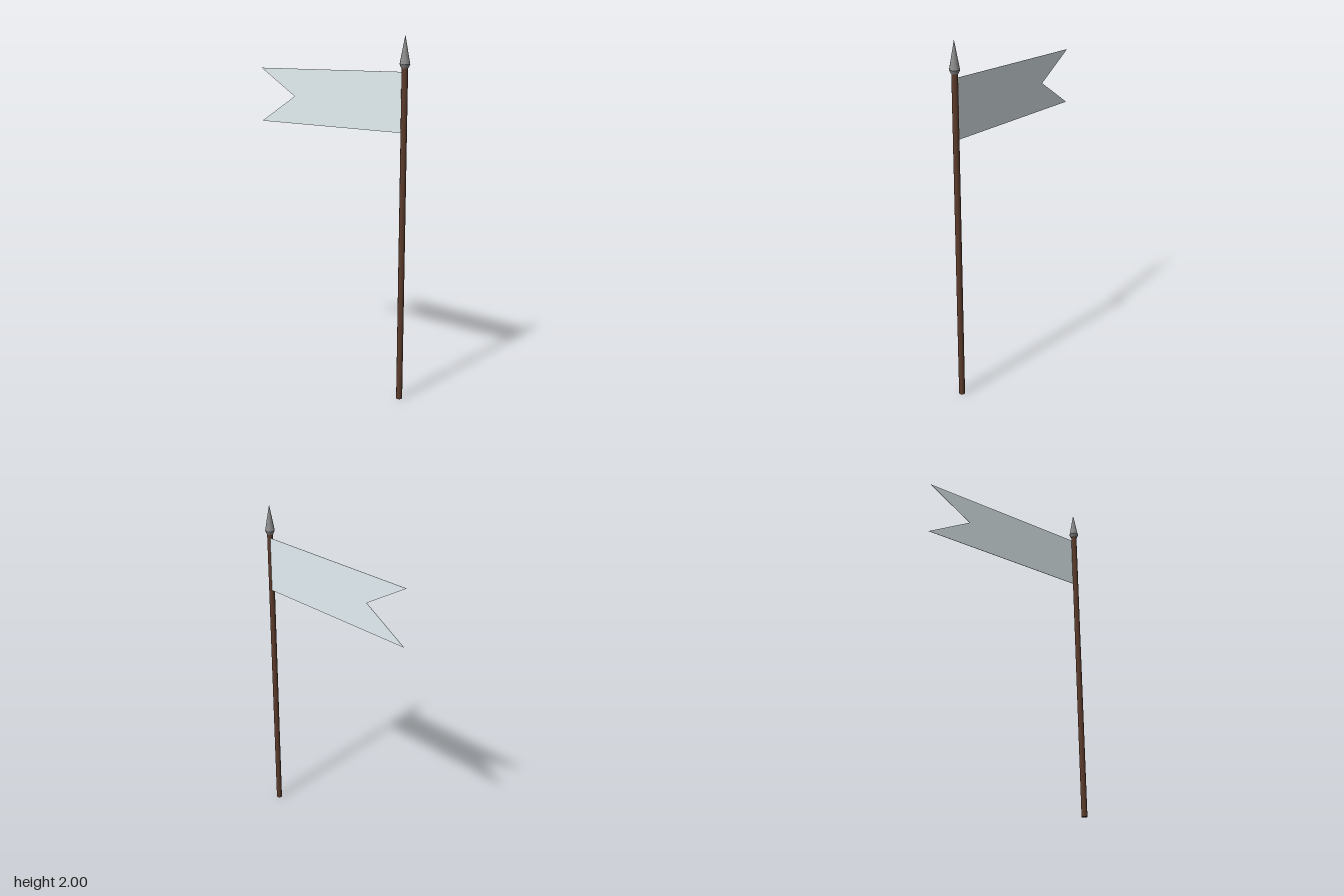
import * as THREE from 'three';

const POLE_X = 0.529;

function addPart(group, name, geometry, color, x, y, z) {
  const mesh = new THREE.Mesh(geometry, new THREE.MeshStandardMaterial({ color }));
  mesh.name = name;
  mesh.position.set(x, y, z);
  group.add(mesh);
}

export function createModel() {
  const group = new THREE.Group();
  group.name = 'bannerOnPole';

  // Wooden pole
  addPart(group, 'pole', new THREE.CylinderGeometry(0.017, 0.017, 1.84, 12), 0x5c3c2c, POLE_X, 0.92, 0);

  // Metal finial: flared socket and long point
  const metal = 0x8e8e8e;
  addPart(group, 'spearSocket', new THREE.CylinderGeometry(0.028, 0.019, 0.02, 12), metal, POLE_X, 1.84, 0);
  addPart(group, 'spearPoint', new THREE.ConeGeometry(0.028, 0.15, 12), metal, POLE_X, 1.925, 0);

  // Thin swallow-tailed cloth just behind the pole axis
  const outline = new THREE.Shape([[0.52, 1.49], [0.52, 1.81], [-0.557, 1.81], [-0.28, 1.65], [-0.557, 1.49]]
    .map(([x, y]) => new THREE.Vector2(x, y)));
  const cloth = new THREE.ExtrudeGeometry(outline, { depth: 0.002, bevelEnabled: false });
  addPart(group, 'flag', cloth, 0xe4eff3, 0, 0, -0.01);

  return group;
}
